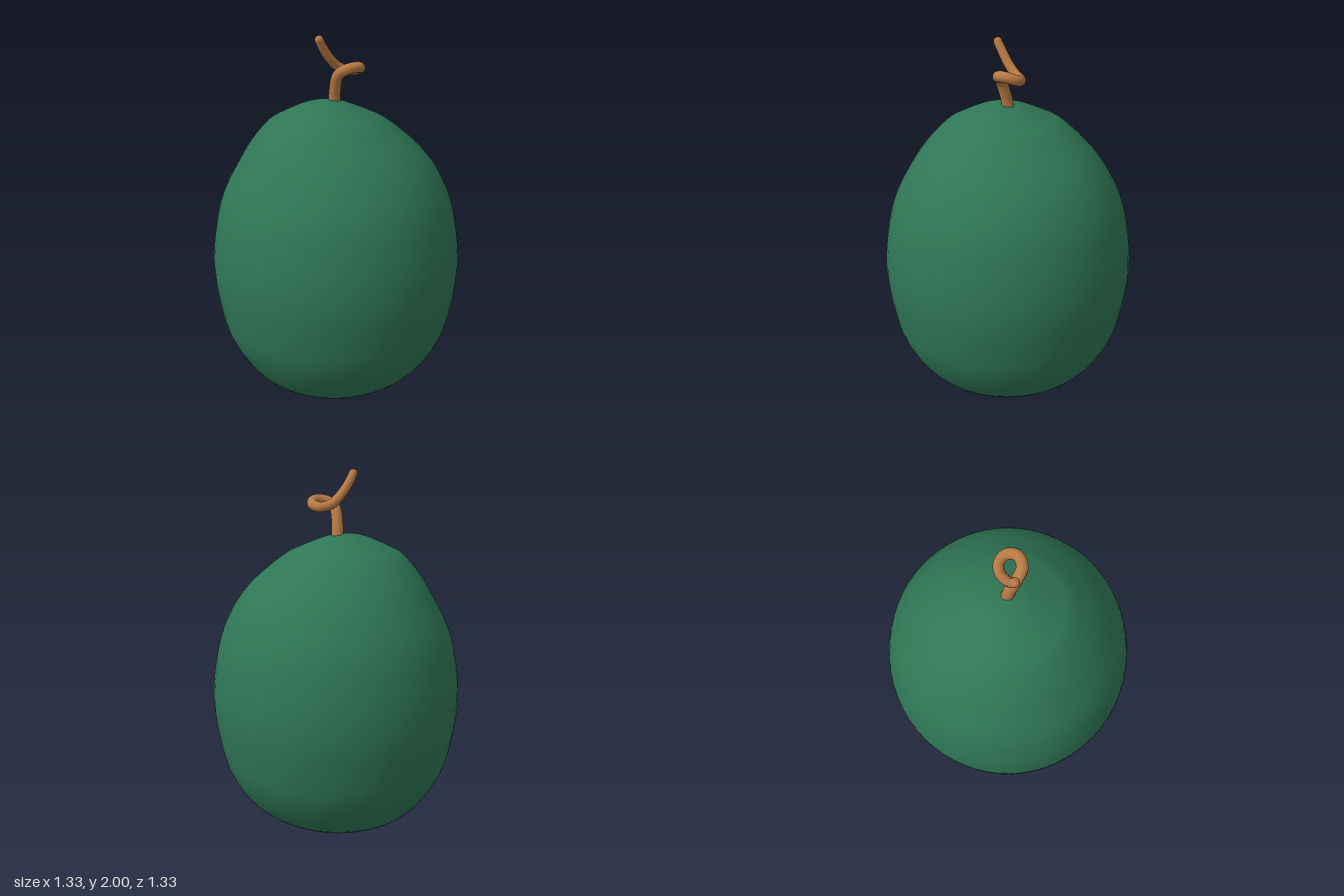
import * as THREE from 'three';
import { mergeVertices } from 'three/addons/utils/BufferGeometryUtils.js';

const rind = new THREE.MeshStandardMaterial({ color: 0x2f7656 });
rind.name = 'greenRind';
const vine = new THREE.MeshStandardMaterial({ color: 0xb87a45 });
vine.name = 'brownVine';

// Slightly lopsided melon body: a smooth lathe whose upper rings lean off axis
function makeBody() {
  const outline = [
    [0, 0.005], [0.1, 0.01], [0.3, 0.09], [0.48, 0.21], [0.6, 0.4], [0.648, 0.6], [0.667, 0.8],
    [0.647, 1], [0.592, 1.2], [0.475, 1.4], [0.33, 1.55], [0.235, 1.605], [0.1, 1.66], [0, 1.675],
  ].map(([r, y]) => new THREE.Vector2(r, y));
  const profile = new THREE.SplineCurve(outline).getPoints(64);
  profile.forEach((p) => { p.x = Math.max(p.x, 0); });
  profile[0].x = profile[64].x = 0;

  const lathe = new THREE.LatheGeometry(profile, 64);
  lathe.deleteAttribute('normal');
  lathe.deleteAttribute('uv');
  const geo = mergeVertices(lathe, 1e-5);
  const pos = geo.attributes.position;
  for (let i = 0; i < pos.count; i++) {
    const y = pos.getY(i);
    const top = THREE.MathUtils.smoothstep(y, 1.3, 1.68);
    const foot = 1 - THREE.MathUtils.smoothstep(y, 0, 0.3);
    pos.setX(i, pos.getX(i) - 0.04 * top - 0.015 * foot);
    pos.setZ(i, pos.getZ(i) + 0.035 * top + 0.025 * foot);
  }
  geo.computeVertexNormals();
  const body = new THREE.Mesh(geo, rind);
  body.name = 'melonBody';
  return body;
}

// Curled stem: a tube that thins towards a rounded tip
function makeStem() {
  const path = new THREE.CatmullRomCurve3([
    [-0.012, 1.62, -0.005], [0, 1.72, 0.012], [0.03, 1.805, 0.03], [0.08, 1.835, 0.025],
    [0.115, 1.842, -0.025], [0.095, 1.826, -0.075], [0.045, 1.815, -0.08], [0, 1.83, -0.04],
    [-0.03, 1.88, 0.01], [-0.05, 1.94, 0.05], [-0.057, 1.977, 0.071],
  ].map((p) => new THREE.Vector3(...p)));
  const steps = 80, sides = 14, baseRadius = 0.032, tipRadius = 0.023;
  const geo = new THREE.TubeGeometry(path, steps, baseRadius, sides);
  const pos = geo.attributes.position;
  const v = new THREE.Vector3();
  for (let i = 0; i < pos.count; i++) {
    const t = Math.floor(i / (sides + 1)) / steps;
    const centre = path.getPointAt(t);
    v.fromBufferAttribute(pos, i).sub(centre)
      .multiplyScalar(THREE.MathUtils.lerp(1, tipRadius / baseRadius, t)).add(centre);
    pos.setXYZ(i, v.x, v.y, v.z);
  }
  const curl = new THREE.Mesh(geo, vine);
  curl.name = 'stemCurl';
  const tip = new THREE.Mesh(new THREE.SphereGeometry(tipRadius, 14, 10), vine);
  tip.position.copy(path.getPointAt(1));
  tip.name = 'stemTip';
  const stem = new THREE.Group();
  stem.name = 'stem';
  stem.add(curl, tip);
  return stem;
}

export function createModel() {
  const model = new THREE.Group();
  model.name = 'melon';
  model.add(makeBody(), makeStem());
  return model;
}
